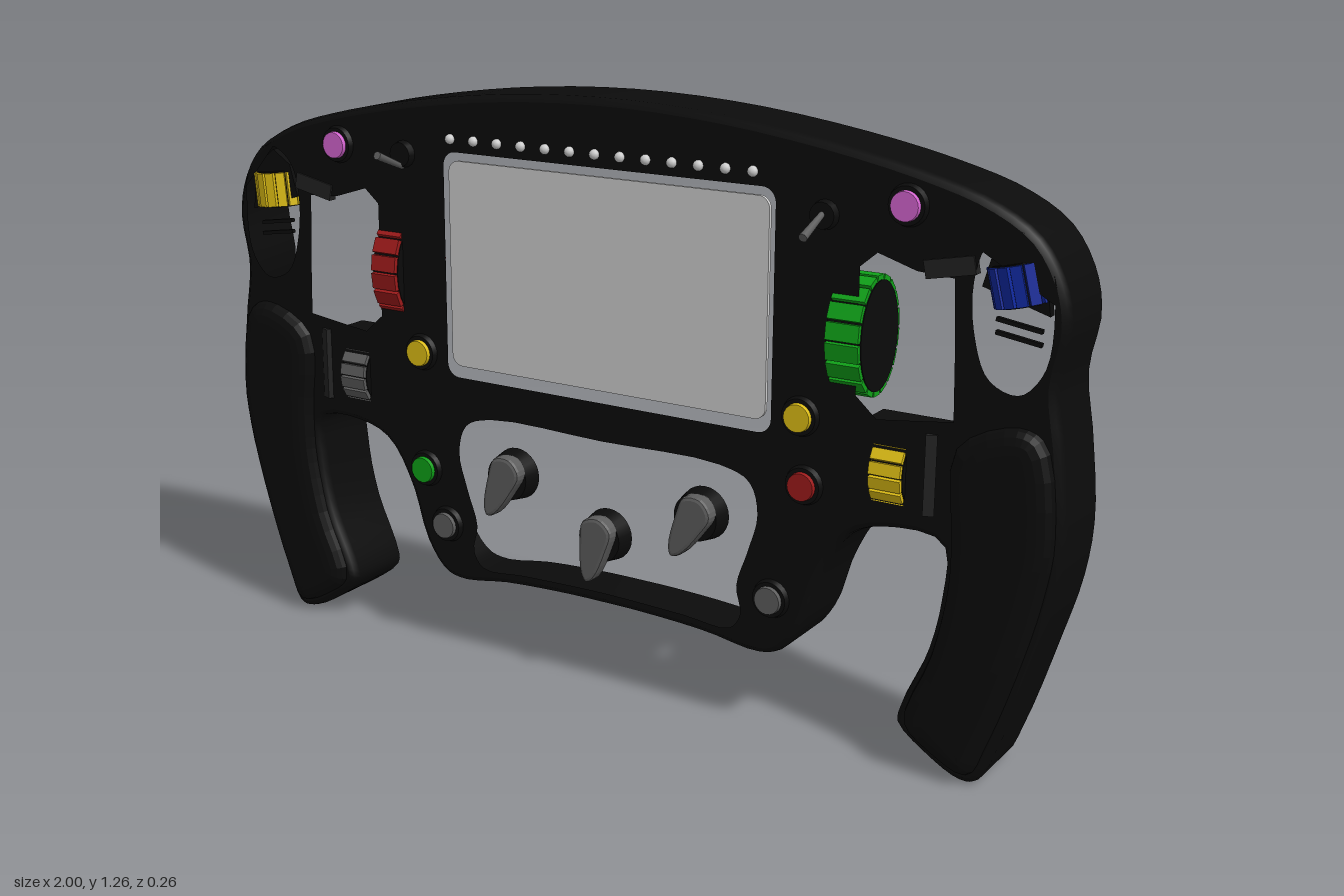
import * as THREE from 'three';

const paint = (name, color, side = THREE.FrontSide) => {
  const m = new THREE.MeshStandardMaterial({ color, side });
  m.name = name;
  return m;
};
const V2 = (p) => new THREE.Vector2(p[0], p[1]);
const flip = (pts) => pts.map(([x, y]) => [-x, y]);

// Closed smooth loop through a few points
function smooth(pts, n) {
  const c = new THREE.CatmullRomCurve3(pts.map(([x, y]) => new THREE.Vector3(x, y, 0)), true, 'centripetal');
  return c.getPoints(n).slice(0, n).map((p) => new THREE.Vector2(p.x, p.y));
}

// Contour pulled inwards (counter-clockwise input)
function inset(pts, d) {
  const n = pts.length;
  return pts.map((p, i) => {
    const t = pts[(i + 1) % n].clone().sub(pts[(i + n - 1) % n]).normalize();
    return new THREE.Vector2(p.x - t.y * d, p.y + t.x * d);
  });
}

// Open wall through several rings of the contour, each [inset, z]
function wall(contour, rings) {
  const n = contour.length, pos = [], idx = [];
  for (const [d, z] of rings) for (const p of inset(contour, d)) pos.push(p.x, p.y, z);
  for (let r = 0; r < rings.length - 1; r++) {
    for (let i = 0; i < n; i++) {
      const j = (i + 1) % n, a = r * n + i, b = r * n + j;
      idx.push(a, a + n, b, b, a + n, b + n);
    }
  }
  const g = new THREE.BufferGeometry();
  g.setAttribute('position', new THREE.Float32BufferAttribute(pos, 3));
  g.setIndex(idx);
  g.computeVertexNormals();
  return g;
}

function roundRect(x0, y0, x1, y1, r) {
  const s = new THREE.Shape();
  s.moveTo(x0 + r, y0).lineTo(x1 - r, y0).absarc(x1 - r, y0 + r, r, -Math.PI / 2, 0);
  s.lineTo(x1, y1 - r).absarc(x1 - r, y1 - r, r, 0, Math.PI / 2);
  s.lineTo(x0 + r, y1).absarc(x0 + r, y1 - r, r, Math.PI / 2, Math.PI);
  s.lineTo(x0, y0 + r).absarc(x0 + r, y0 + r, r, Math.PI, Math.PI * 1.5);
  return s;
}

export function createModel() {
  const model = new THREE.Group();
  const black = paint('black', 0x0b0b0b);
  const shell = paint('shell black', 0x0b0b0b, THREE.DoubleSide);
  const charcoal = paint('charcoal', 0x222222);
  const grey = paint('grey', 0x5c5c5c);
  const pale = paint('pale grey', 0xcccccc);
  const yellow = paint('yellow', 0xdcbc14);
  const red = paint('red', 0x9c1a1a);
  const green = paint('green', 0x0fa018);
  const blue = paint('blue', 0x10289c);
  const pink = paint('pink', 0xd464d0);

  const add = (name, geo, mat, x = 0, y = 0, z = 0, parent = model) => {
    const m = new THREE.Mesh(geo, mat);
    m.name = name;
    m.position.set(x, y, z);
    parent.add(m);
    return m;
  };

  // Outline of the wheel, right half from the top centre to the bottom centre
  const half = [[0, 1.268], [0.25, 1.257], [0.5, 1.225], [0.7, 1.185], [0.83, 1.145], [0.92, 1.09], [0.97, 1.01],
    [0.985, 0.93], [0.968, 0.82], [0.985, 0.7], [1, 0.54], [0.988, 0.42], [0.95, 0.28], [0.89, 0.09], [0.855, 0.015],
    [0.82, 0.01], [0.75, 0.045], [0.685, 0.1], [0.69, 0.14], [0.74, 0.26], [0.765, 0.38], [0.762, 0.485], [0.65, 0.495],
    [0.57, 0.465], [0.51, 0.37], [0.47, 0.25], [0.42, 0.185], [0.37, 0.172], [0.25, 0.188], [0.1, 0.196], [0, 0.197]];
  const outline = smooth([...half, ...flip(half.slice(1, -1)).reverse()].reverse(), 200);

  // Openings in the front face
  const lower = [[0, 0.56], [0.28, 0.56], [0.35, 0.535], [0.37, 0.47], [0.35, 0.39], [0.325, 0.31], [0.335, 0.25],
    [0.31, 0.215], [0.2, 0.219], [0, 0.224]];
  const side = [[0.575, 1], [0.61, 1.03], [0.69, 1.005], [0.765, 1.0], [0.772, 0.86], [0.776, 0.73], [0.7, 0.72],
    [0.62, 0.71], [0.575, 0.75]];
  const thumb = [[0.88, 1.1], [0.94, 1.06], [0.957, 0.96], [0.945, 0.85], [0.9, 0.8], [0.84, 0.82], [0.808, 0.9],
    [0.802, 1.0], [0.825, 1.07]];
  const face = new THREE.Shape(inset(outline, 0.014));
  face.holes = [
    new THREE.Path(smooth([...lower, ...flip(lower.slice(1, -1)).reverse()], 72)),
    new THREE.Path(roundRect(-0.395, 0.642, 0.395, 1.13, 0.03).getPoints(5)),
  ];
  for (const h of [side, flip(side)]) face.holes.push(new THREE.Path(h.map(V2)));
  for (const h of [thumb, flip(thumb)]) face.holes.push(new THREE.Path(smooth(h, 40)));
  add('frontFace', new THREE.ShapeGeometry(face), shell, 0, 0, 0.042);
  add('rimWall', wall(outline, [[0.014, 0.042], [0.004, 0.036], [0, 0.02], [0, -0.125]]), shell);

  // Screen set in its opening
  add('screen', new THREE.ExtrudeGeometry(roundRect(-0.382, 0.668, 0.382, 1.112, 0.025),
    { depth: 0.008, bevelEnabled: false, curveSegments: 5 }), pale, 0, 0, 0.034);

  // Rounded grip pads
  const grip = [[0.785, 0.68], [0.9, 0.74], [0.955, 0.72], [0.985, 0.54], [0.97, 0.42], [0.935, 0.28], [0.875, 0.1],
    [0.84, 0.03], [0.76, 0.06], [0.705, 0.11], [0.755, 0.26], [0.782, 0.4], [0.785, 0.5]];
  for (const [name, pts] of [['leftGripPad', grip], ['rightGripPad', flip(grip)]]) {
    add(name, new THREE.ExtrudeGeometry(new THREE.Shape(smooth(pts, 48)), {
      depth: 0.004, bevelThickness: 0.026, bevelSize: 0.045, bevelOffset: -0.045, bevelSegments: 4,
    }), black, 0, 0, 0.038);
  }

  // Ribbed thumb wheel: dark drum with coloured bars, axis along x
  function roller(name, mat, x, y, z, width, ry, rz, bars, tilt = 0) {
    const g = new THREE.Group();
    g.name = name;
    g.position.set(x, y, z);
    g.rotation.z = tilt;
    const drum = add('drum', new THREE.CylinderGeometry(0.93, 0.93, width * 1.06, 24).rotateZ(Math.PI / 2), black, 0, 0, 0, g);
    drum.scale.set(1, ry, rz);
    for (let i = 0; i < bars; i++) {
      const a = ((i + 0.5) / bars) * Math.PI * 2, c = Math.cos(a), s = Math.sin(a);
      const len = (Math.PI * 2 / bars) * 0.84 * Math.hypot(ry * c, rz * s);
      const bar = add('bar', new THREE.BoxGeometry(width, len, 0.014), mat, 0, ry * s * 0.95, rz * c * 0.95, g);
      bar.rotation.x = -Math.atan2(s / ry, c / rz);
    }
    model.add(g);
  }
  roller('redRoller', red, -0.545, 0.855, -0.02, 0.064, 0.118, 0.088, 18);
  roller('greenRoller', green, 0.555, 0.855, -0.02, 0.07, 0.118, 0.088, 18);
  roller('greyRoller', grey, -0.648, 0.605, 0.01, 0.066, 0.065, 0.05, 14);
  roller('sideYellowRoller', yellow, 0.65, 0.605, 0.01, 0.066, 0.065, 0.05, 14);
  roller('thumbYellowRoller', yellow, -0.885, 1.0, 0.005, 0.075, 0.055, 0.048, 14, Math.PI / 2 + 0.1);
  roller('thumbBlueRoller', blue, 0.88, 1.0, 0.005, 0.075, 0.055, 0.048, 14, Math.PI / 2 + 0.25);

  for (const s of [-1, 1]) {
    // Housing behind the thumb roller and slats below it
    const housing = thumb.filter((p) => p[1] > 0.94).map(([x, y]) => [s * (0.88 + (x - 0.88) * 0.85), y - 0.01]);
    add('thumbHousing', new THREE.ExtrudeGeometry(new THREE.Shape(housing.map(V2)),
      { depth: 0.02, bevelEnabled: false }), black, 0, 0, 0.012);
    for (const y of [0.9, 0.925]) {
      add('thumbSlat', new THREE.BoxGeometry(0.09, 0.008, 0.01), black, s * 0.885, y, 0.02).rotation.z = -s * 0.15;
    }
    // Bracket carrying the lower roller, and sloped cheeks around the side opening
    add('rollerBracket', new THREE.BoxGeometry(0.15, 0.18, 0.1), black, s * 0.655, 0.605, -0.025);
    add('bracketCheek', new THREE.BoxGeometry(0.022, 0.16, 0.012), charcoal, s * 0.735, 0.62, 0.044).rotation.y = s * 0.4;
    add('openingCheek', new THREE.BoxGeometry(0.1, 0.035, 0.02), charcoal, s * 0.755, 1.02, 0.036).rotation.z = s * 0.2;
    // Fork plates on both sides of the large roller
    add('rollerFork', new THREE.BoxGeometry(0.014, 0.25, 0.09), black, s * 0.503, 0.855, -0.02);
    // Toggle switch
    const y = s < 0 ? 1.115 : 1.09;
    add('toggleBase', new THREE.CylinderGeometry(0.026, 0.03, 0.02, 16).rotateX(Math.PI / 2), black, s * 0.5, y, 0.048);
    const lever = add('toggleLever', new THREE.CylinderGeometry(0.009, 0.006, 0.09, 10).rotateX(Math.PI / 2), grey,
      s * 0.5, 1.092 - s * 0.014, 0.09);
    lever.rotation.x = s * 0.4;
  }

  // Push buttons with dark collars
  const buttons = [['pink', pink, -0.68, 1.12], ['pink', pink, 0.668, 1.125], ['yellow', yellow, -0.465, 0.685],
    ['yellow', yellow, 0.46, 0.69], ['green', green, -0.46, 0.42], ['red', red, 0.472, 0.552],
    ['grey', grey, -0.405, 0.3], ['grey', grey, 0.405, 0.3]];
  for (const [name, mat, x, y] of buttons) {
    add('buttonCollar', new THREE.CylinderGeometry(0.037, 0.042, 0.014, 24).rotateX(Math.PI / 2), black, x, y, 0.046);
    add(name + 'Button', new THREE.CylinderGeometry(0.028, 0.031, 0.022, 20).rotateX(Math.PI / 2), mat, x, y, 0.051);
  }

  // Row of indicator lamps
  for (let i = 0; i < 13; i++) {
    add('indicatorLamp', new THREE.SphereGeometry(0.011, 10, 8), pale, -0.375 + i * 0.06, 1.157, 0.044);
  }

  // Rotary knobs in the lower opening
  const pointer = new THREE.Shape(smooth([[0, 0.055], [0.036, 0.035], [0.034, -0.01], [0.016, -0.08], [0, -0.095],
    [-0.016, -0.08], [-0.034, -0.01], [-0.036, 0.035]].reverse(), 32));
  const pointerGeo = new THREE.ExtrudeGeometry(pointer,
    { depth: 0.02, bevelThickness: 0.008, bevelSize: 0.008, bevelOffset: -0.008, bevelSegments: 2 });
  for (const [x, y, tilt] of [[-0.245, 0.435, -0.42], [-0.008, 0.342, -0.2], [0.225, 0.435, -0.48]]) {
    add('knobBase', new THREE.CylinderGeometry(0.05, 0.057, 0.04, 28).rotateX(Math.PI / 2), black, x, y, 0.02);
    add('knobPointer', pointerGeo, grey, x, y, 0.038).rotation.z = tilt;
  }
  return model;
}
